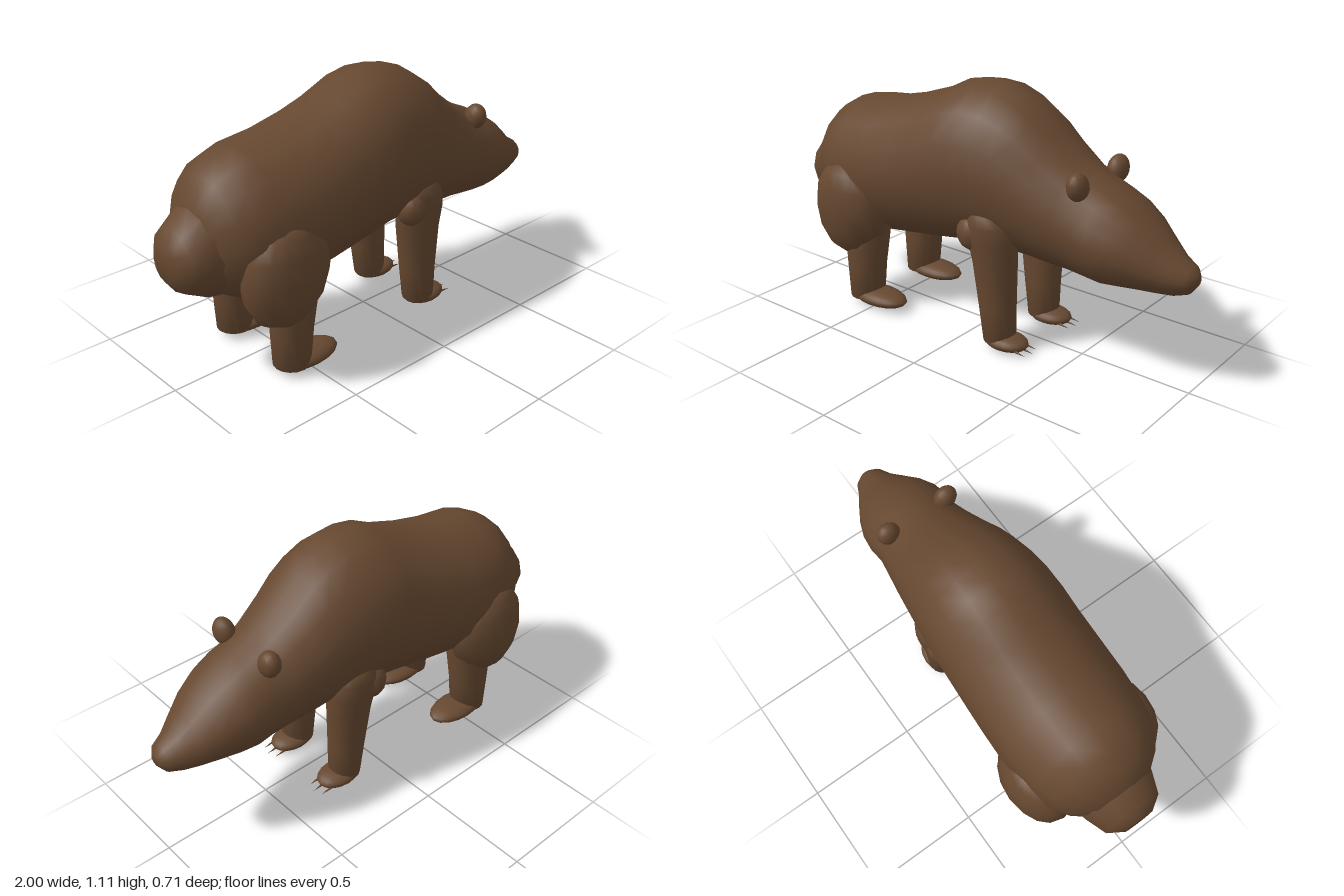
import * as THREE from 'three';

const brown = new THREE.MeshStandardMaterial({ color: 0x664830 });
brown.name = 'brown fur';

// Skin over elliptical sections [s, centreA, centreB, radiusA, radiusB], closed at both ends.
// Axis 'x': s,A,B = x,y,z. Axis 'y': s,A,B = y,z,x.
function loft(sections, axis, sides = 16) {
  const pos = [], index = [];
  const put = (s, a, b) => (axis === 'x' ? pos.push(s, a, b) : pos.push(b, s, a));
  for (const [s, ca, cb, ra, rb] of sections) {
    for (let j = 0; j < sides; j++) {
      const t = (j / sides) * Math.PI * 2;
      put(s, ca + ra * Math.cos(t), cb + rb * Math.sin(t));
    }
  }
  const n = sections.length, first = n * sides, last = first + 1;
  put(...sections[0].slice(0, 3));
  put(...sections[n - 1].slice(0, 3));
  for (let j = 0; j < sides; j++) {
    const k = (j + 1) % sides, e = (n - 1) * sides;
    for (let i = 0; i < n - 1; i++) {
      const p = i * sides, q = p + sides;
      index.push(p + j, p + k, q + j, p + k, q + k, q + j);
    }
    index.push(first, k, j, last, e + j, e + k);
  }
  const geo = new THREE.BufferGeometry();
  geo.setAttribute('position', new THREE.Float32BufferAttribute(pos, 3));
  geo.setIndex(index);
  geo.computeVertexNormals();
  return geo;
}

function add(parent, name, geo) {
  const mesh = new THREE.Mesh(geo, brown);
  mesh.name = name;
  parent.add(mesh);
  return mesh;
}

function ellipsoid(parent, name, centre, radii, w = 16, h = 12) {
  const geo = new THREE.SphereGeometry(1, w, h);
  geo.scale(...radii);
  const mesh = add(parent, name, geo);
  mesh.position.set(...centre);
  return mesh;
}

export function createModel() {
  const bear = new THREE.Group();
  bear.name = 'bear';

  // Body, neck and head: x, top, bottom, half width
  const profile = [
    [-0.9, 0.68, 0.54, 0.06], [-0.88, 0.79, 0.45, 0.14], [-0.82, 0.87, 0.39, 0.22],
    [-0.75, 0.92, 0.35, 0.27], [-0.66, 0.95, 0.325, 0.295], [-0.5, 0.965, 0.335, 0.31],
    [-0.35, 1.0, 0.355, 0.308], [-0.2, 1.05, 0.375, 0.303], [-0.1, 1.1, 0.39, 0.3],
    [0, 1.12, 0.405, 0.295], [0.1, 1.115, 0.41, 0.285], [0.2, 1.08, 0.41, 0.27],
    [0.28, 1.03, 0.41, 0.257], [0.36, 0.955, 0.405, 0.242], [0.47, 0.87, 0.4, 0.22],
    [0.55, 0.825, 0.39, 0.206], [0.62, 0.795, 0.385, 0.211], [0.7, 0.755, 0.395, 0.2],
    [0.78, 0.7, 0.403, 0.17], [0.86, 0.625, 0.408, 0.128], [0.92, 0.575, 0.413, 0.092],
    [0.975, 0.545, 0.432, 0.066], [1, 0.515, 0.465, 0.03],
  ];
  add(bear, 'bodyAndHead', loft(profile.map(([x, top, bottom, half]) =>
    [x, (top + bottom) / 2, 0, (top - bottom) / 2, half]), 'x'));

  // Rounded rump behind the body
  add(bear, 'rump', loft([
    [-1, 0.57, 0, 0.08, 0.07], [-0.96, 0.565, 0, 0.13, 0.135], [-0.87, 0.58, 0, 0.195, 0.17],
    [-0.78, 0.58, 0, 0.205, 0.19], [-0.68, 0.58, 0, 0.15, 0.15],
  ], 'x', 12));

  for (const side of [1, -1]) {
    const label = side > 0 ? 'Left' : 'Right';

    // Ear
    const ear = ellipsoid(bear, 'ear' + label, [0.545, 0.802, 0.145 * side], [0.043, 0.06, 0.052], 12, 10);
    ear.rotation.x = 0.4 * side;

    // Front leg, elbow, foot and claws
    const front = new THREE.Group();
    front.name = 'frontLeg' + label;
    bear.add(front);
    add(front, 'frontLimb', loft([
      [0.04, 0.16 * side, 0.185, 0.07, 0.07], [0.2, 0.162 * side, 0.175, 0.077, 0.083],
      [0.4, 0.168 * side, 0.165, 0.088, 0.1], [0.5, 0.18 * side, 0.16, 0.092, 0.112],
      [0.57, 0.19 * side, 0.155, 0.085, 0.105], [0.615, 0.2 * side, 0.15, 0.065, 0.08],
      [0.632, 0.205 * side, 0.15, 0.035, 0.045],
    ], 'y'));
    ellipsoid(front, 'elbow', [0.085, 0.52, 0.215 * side], [0.075, 0.075, 0.06], 12, 8);
    ellipsoid(front, 'frontFoot', [0.22, 0.043, 0.16 * side], [0.105, 0.036, 0.075]);
    for (const offset of [-0.04, 0, 0.04]) {
      const claw = add(front, 'claw', new THREE.ConeGeometry(0.008, 0.075, 8));
      claw.rotation.z = -Math.PI / 2 - 0.12;
      claw.position.set(0.325 - Math.abs(offset) * 0.3, 0.03, 0.16 * side + offset);
    }

    // Hind leg with thigh and foot
    const hind = new THREE.Group();
    hind.name = 'hindLeg' + label;
    bear.add(hind);
    add(hind, 'thigh', loft([
      [0.265, 0.22 * side, -0.62, 0.05, 0.05], [0.3, 0.22 * side, -0.625, 0.085, 0.12],
      [0.38, 0.22 * side, -0.615, 0.12, 0.175], [0.48, 0.22 * side, -0.607, 0.137, 0.197],
      [0.58, 0.22 * side, -0.607, 0.13, 0.185], [0.65, 0.22 * side, -0.61, 0.103, 0.135],
      [0.685, 0.22 * side, -0.61, 0.07, 0.07],
    ], 'y'));
    add(hind, 'hindLimb', loft([
      [0.04, 0.193 * side, -0.57, 0.08, 0.078], [0.2, 0.193 * side, -0.565, 0.086, 0.092],
      [0.4, 0.193 * side, -0.55, 0.095, 0.115], [0.48, 0.193 * side, -0.55, 0.08, 0.1],
    ], 'y'));
    ellipsoid(hind, 'hindFoot', [-0.495, 0.049, 0.193 * side], [0.153, 0.039, 0.084]);
  }
  return bear;
}
